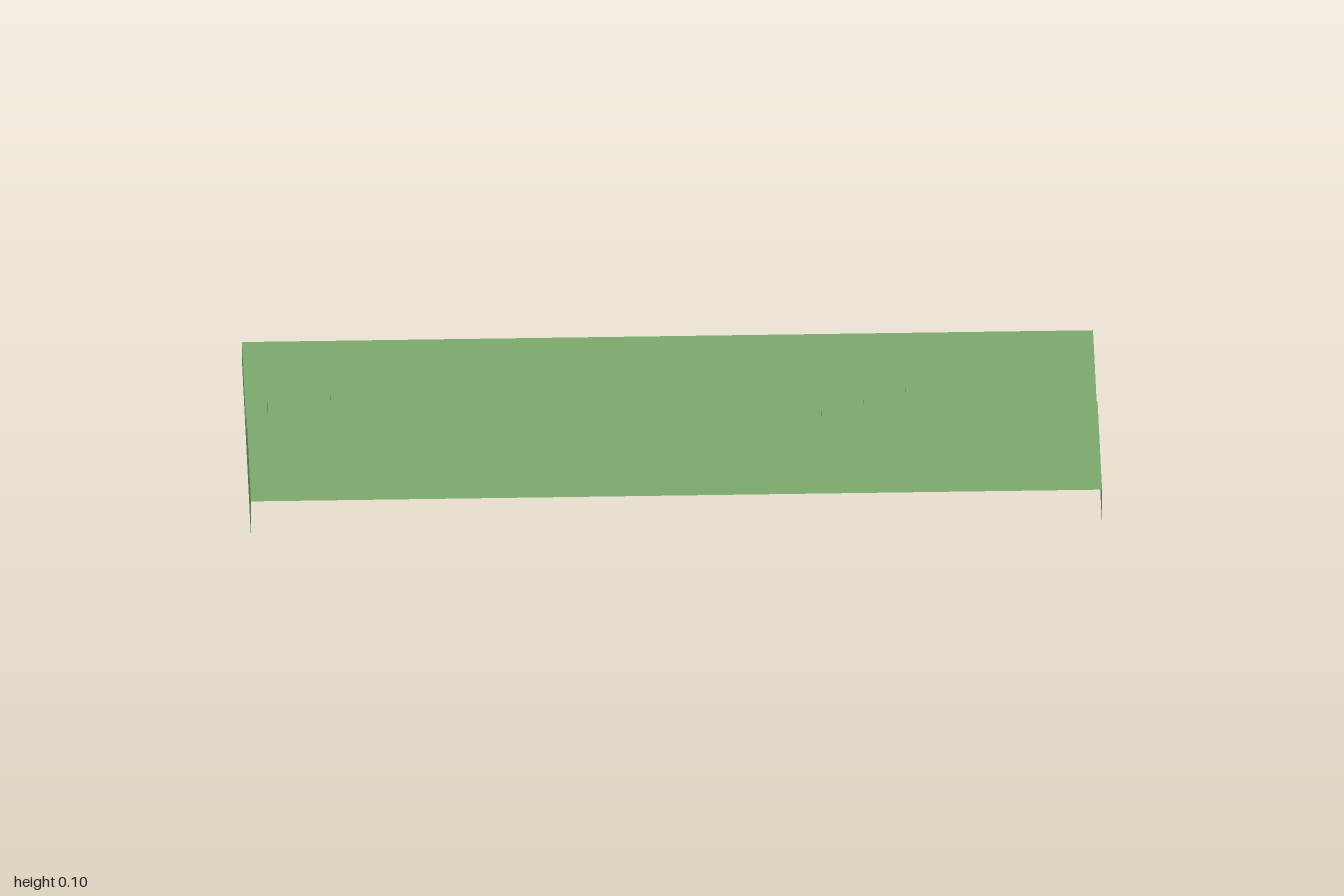
import * as THREE from 'three';

const LOW = 0.05, HIGH = 0.1, HALF_X = 1, HALF_Z = 0.4;

// Stepped edge between the two levels: [x where a run ends, z of that run]
const RUNS = [
  [-0.95, 0], [-0.8, -0.05], [-0.15, -0.1], [-0.1, -0.05], [0, 0], [0.35, 0.05],
  [0.45, 0], [0.55, -0.05], [0.85, -0.1], [0.95, -0.05], [1, 0],
];

function steppedEdge() {
  const points = [];
  let x = -HALF_X;
  for (const [end, z] of RUNS) {
    points.push([x, z], [end, z]);
    x = end;
  }
  return points;
}

// Flat horizontal sheet from an [x, z] outline
function sheet(outline, y) {
  const shape = new THREE.Shape(outline.map(([x, z]) => new THREE.Vector2(x, -z)));
  return new THREE.ShapeGeometry(shape).rotateX(-Math.PI / 2).translate(0, y, 0);
}

// Upright sheet following an [x, z] path, one flat quad per segment
function wall(path, y0, y1) {
  const positions = [];
  for (let i = 0; i < path.length - 1; i++) {
    const [ax, az] = path[i], [bx, bz] = path[i + 1];
    positions.push(ax, y0, az, bx, y0, bz, bx, y1, bz);
    positions.push(ax, y0, az, bx, y1, bz, ax, y1, az);
  }
  const geometry = new THREE.BufferGeometry();
  geometry.setAttribute('position', new THREE.Float32BufferAttribute(positions, 3));
  geometry.computeVertexNormals();
  return geometry;
}

export function createModel() {
  const group = new THREE.Group();
  group.name = 'steppedGround';
  const grass = new THREE.MeshStandardMaterial({ color: 0x7aa86c, side: THREE.DoubleSide });
  grass.name = 'grass green';
  const add = (name, geometry) => {
    const mesh = new THREE.Mesh(geometry, grass);
    mesh.name = name;
    group.add(mesh);
  };

  const edge = steppedEdge();

  // Ground surfaces
  add('upperGround', sheet([...edge, [HALF_X, HALF_Z], [-HALF_X, HALF_Z]], HIGH));
  add('lowerGround', sheet([...edge, [HALF_X, -HALF_Z], [-HALF_X, -HALF_Z]], LOW));

  // Small cliff between the levels
  add('ledge', wall([...edge].reverse(), LOW, HIGH));

  // Outer walls; the front and the underside stay open
  add('leftUpperWall', wall([[HALF_X, HALF_Z], [HALF_X, 0]], 0, HIGH));
  add('rightUpperWall', wall([[-HALF_X, 0], [-HALF_X, HALF_Z]], 0, HIGH));
  add('lowerWalls', wall(
    [[HALF_X, 0], [HALF_X, -HALF_Z], [-HALF_X, -HALF_Z], [-HALF_X, 0]], 0, LOW));

  return group;
}
